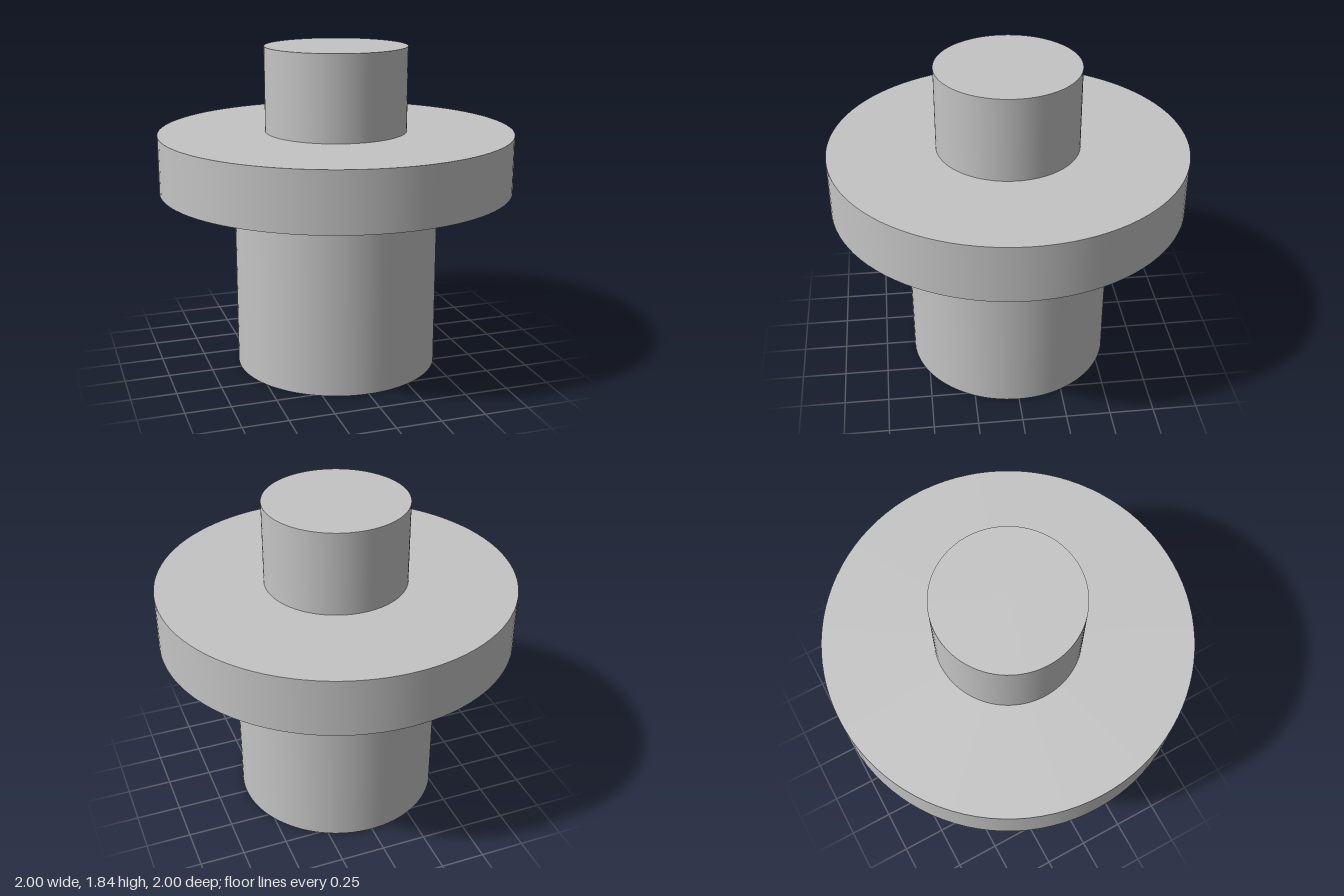
import * as THREE from 'three';

const SEGMENTS = 96;

export function createModel() {
  const model = new THREE.Group();
  model.name = 'flangedPin';

  const metal = new THREE.MeshStandardMaterial({ color: 0xc4c4c4 });
  metal.name = 'light grey metal';

  // Upright cylinder between two heights
  const addCylinder = (name, radius, bottom, top) => {
    const height = top - bottom;
    const mesh = new THREE.Mesh(
      new THREE.CylinderGeometry(radius, radius, height, SEGMENTS),
      metal
    );
    mesh.name = name;
    mesh.position.y = bottom + height / 2;
    model.add(mesh);
  };

  addCylinder('lowerShaft', 0.58, 0, 1.04);
  addCylinder('flange', 1, 1.04, 1.365);
  addCylinder('upperPin', 0.4, 1.365, 1.84);

  return model;
}
